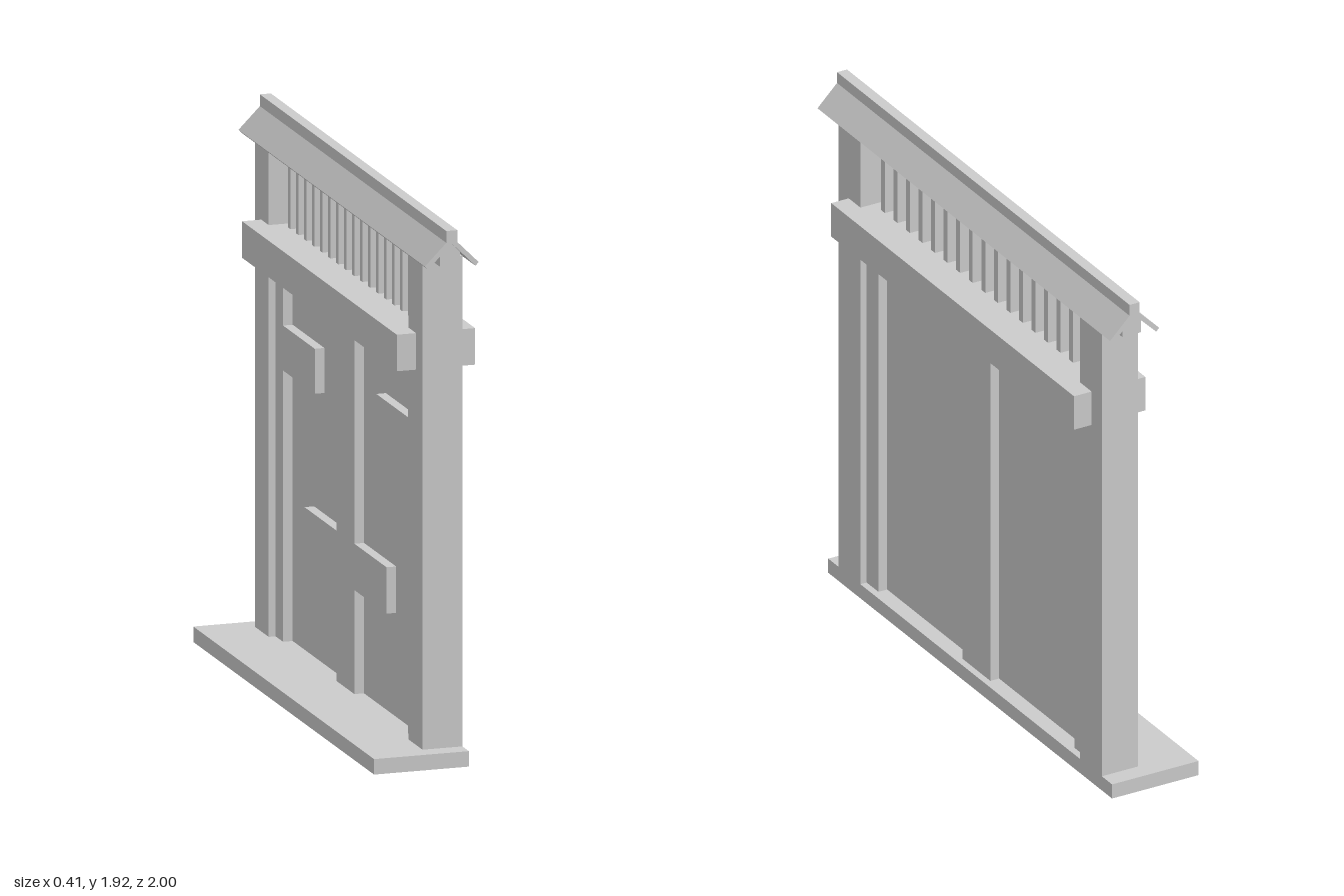
import * as THREE from 'three';

const mat = new THREE.MeshStandardMaterial({ color: 0xcccccc, flatShading: true });
const openMat = new THREE.MeshStandardMaterial({ color: 0xcccccc, flatShading: true, side: THREE.DoubleSide });

// Box given by its limits along each axis
function box(parent, name, [x0, x1], [y0, y1], [z0, z1], openBottom = false) {
  const geo = new THREE.BoxGeometry(x1 - x0, y1 - y0, z1 - z0);
  if (openBottom) {
    const idx = Array.from(geo.index.array);
    idx.splice(18, 6); // drop the bottom face
    geo.setIndex(idx);
    geo.clearGroups();
  }
  const mesh = new THREE.Mesh(geo, openBottom ? openMat : mat);
  mesh.name = name;
  mesh.position.set((x0 + x1) / 2, (y0 + y1) / 2, (z0 + z1) / 2);
  parent.add(mesh);
  return mesh;
}

// Profile in x and y, extruded along z and centred on z = 0
function prism(parent, name, points, length) {
  const shape = new THREE.Shape(points.map(([x, y]) => new THREE.Vector2(x, y)));
  const geo = new THREE.ExtrudeGeometry(shape, { depth: length, bevelEnabled: false });
  geo.translate(0, 0, -length / 2);
  const mesh = new THREE.Mesh(geo, mat);
  mesh.name = name;
  parent.add(mesh);
}

export function createModel() {
  const model = new THREE.Group();
  model.name = 'gate';
  const cx = 0.0625; // middle plane of the wall

  // Hollow step under the gate
  box(model, 'base', [-0.21, 0.135], [0, 0.055], [-0.97, 0.97], true);

  // Door leaves, centre stile, and lintel through the posts
  box(model, 'doorPanel', [0.05, 0.075], [0.055, 1.42], [-0.75, 0.75]);
  box(model, 'centreStile', [0.015, 0.11], [0.055, 1.42], [-0.095, 0.095]);
  box(model, 'lintel', [-0.08, 0.205], [1.39, 1.52], [-0.83, 0.83]);

  // Parts mirrored on both ends: posts, side stiles and door plates
  for (const s of [-1, 1]) {
    const span = (a, b) => (s > 0 ? [a, b] : [-b, -a]);
    box(model, 'post', [-0.01, 0.135], [0.005, 1.8], span(0.75, 0.9), true);
    box(model, 'sideStile', [0.015, 0.11], [0.055, 1.42], span(0.67, 0.75));
    box(model, 'upperPlate', [0.015, 0.05], [1.02, 1.18], span(0.33, 0.68));
    box(model, 'lowerPlate', [0.015, 0.05], [0.425, 0.59], span(0.09, 0.44));
  }

  // Row of bars between lintel and roof
  const bars = new THREE.Group();
  bars.name = 'bars';
  model.add(bars);
  for (let i = -8; i <= 8; i++) {
    const z = i * 0.0858;
    box(bars, 'bar', [cx - 0.02, cx + 0.02], [1.5, 1.81], [z - 0.0135, z + 0.0135]);
  }

  // Roof: ridge beam, two sloping boards and a ridge cap
  prism(model, 'ridgeBeam', [
    [cx - 0.037, 1.79], [cx + 0.037, 1.79], [cx + 0.037, 1.837], [cx, 1.874], [cx - 0.037, 1.837],
  ], 1.96);
  for (const s of [-1, 1]) {
    prism(model, 'roofBoard', [
      [cx, 1.874], [cx + s * 0.086, 1.788], [cx + s * 0.098, 1.8], [cx, 1.898],
    ], 2);
  }
  box(model, 'ridgeCap', [cx - 0.02, cx + 0.02], [1.87, 1.92], [-1, 1]);

  return model;
}
